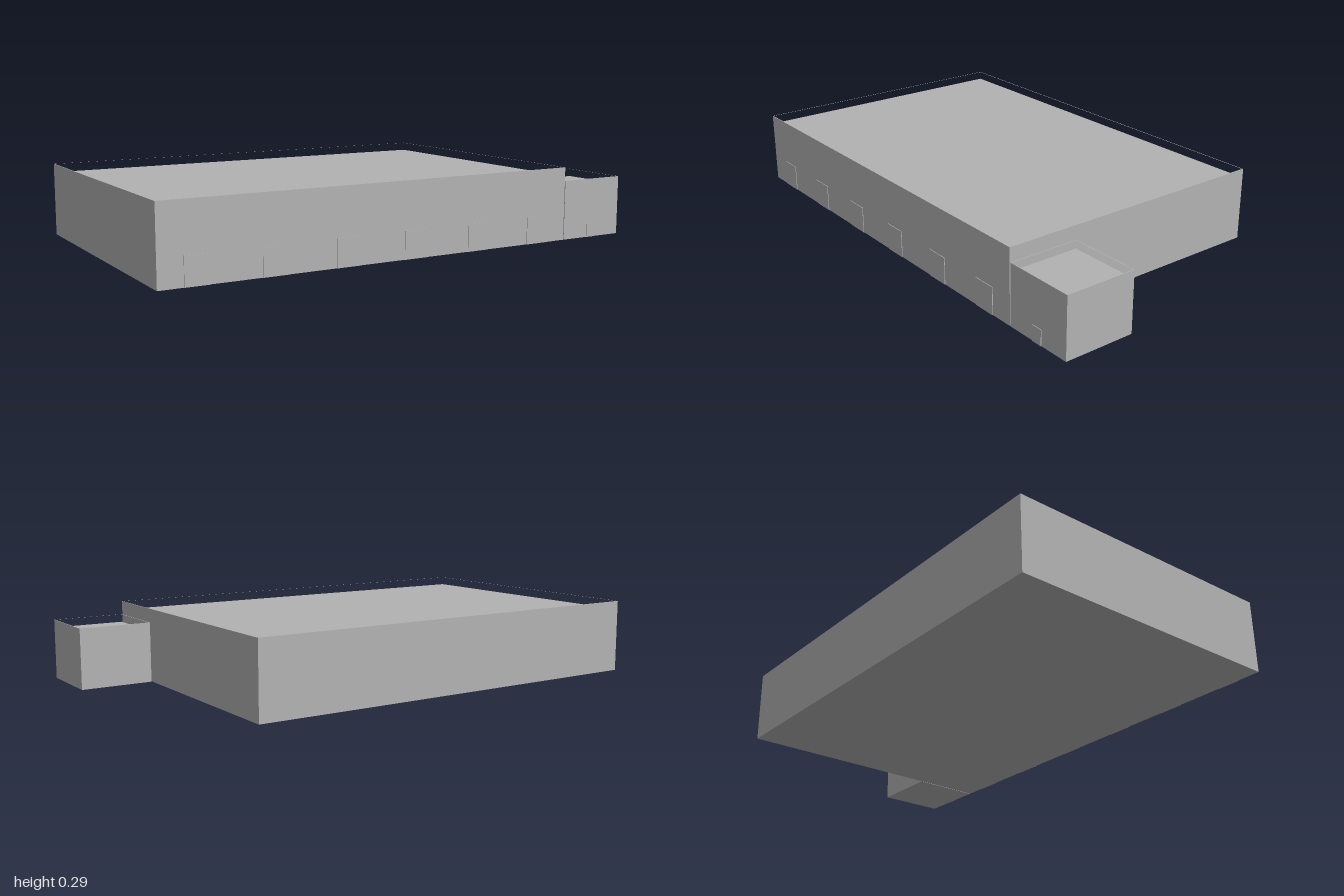
import * as THREE from 'three';

const concrete = new THREE.MeshStandardMaterial({ color: 0xb2b2b2 });
concrete.name = 'concrete grey';

function addMesh(parent, name, geometry, x = 0, y = 0, z = 0) {
  const mesh = new THREE.Mesh(geometry, concrete);
  mesh.name = name;
  mesh.position.set(x, y, z);
  parent.add(mesh);
  return mesh;
}

// Closed rectangle; z runs opposite to shape y once the extrusion stands up
function rectangle(PathType, x0, x1, z0, z1) {
  return new PathType([[x0, z0], [x1, z0], [x1, z1], [x0, z1]]
    .map(([x, z]) => new THREE.Vector2(x, -z)));
}

// Flat-roofed block: thin walls rise past the roof as a parapet
function makeBlock(name, x0, x1, z0, z1, height, roofY) {
  const block = new THREE.Group();
  block.name = name;
  const t = 0.003;
  const ring = rectangle(THREE.Shape, x0, x1, z0, z1);
  ring.holes.push(rectangle(THREE.Path, x0 + t, x1 - t, z0 + t, z1 - t));
  const walls = new THREE.ExtrudeGeometry(ring, { depth: height, bevelEnabled: false });
  addMesh(block, 'walls', walls.rotateX(-Math.PI / 2));

  const cx = (x0 + x1) / 2, cz = (z0 + z1) / 2;
  const w = x1 - x0 - 2 * t, d = z1 - z0 - 2 * t;
  addMesh(block, 'roof', new THREE.PlaneGeometry(w, d).rotateX(-Math.PI / 2), cx, roofY, cz);
  addMesh(block, 'floor', new THREE.PlaneGeometry(w, d).rotateX(Math.PI / 2), cx, 0, cz);
  return block;
}

export function createModel() {
  const model = new THREE.Group();
  model.name = 'warehouse';
  const front = 0.569, back = -0.5715;

  model.add(makeBlock('mainHall', -1, 0.711, back, front, 0.291, 0.257));
  model.add(makeBlock('officeAnnex', 0.714, 1, 0.284, front, 0.237, 0.206));

  // Row of loading doors along the front, and a small door on the annex
  const addDoor = (name, x, width, height) =>
    addMesh(model, name, new THREE.BoxGeometry(width, height, 0.0025), x, height / 2, front + 0.00125);
  for (let i = 0; i < 6; i++) addDoor('loadingDoor', -0.859 + i * 0.2857, 0.095, 0.107);
  addDoor('officeDoor', 0.855, 0.044, 0.06);

  return model;
}
